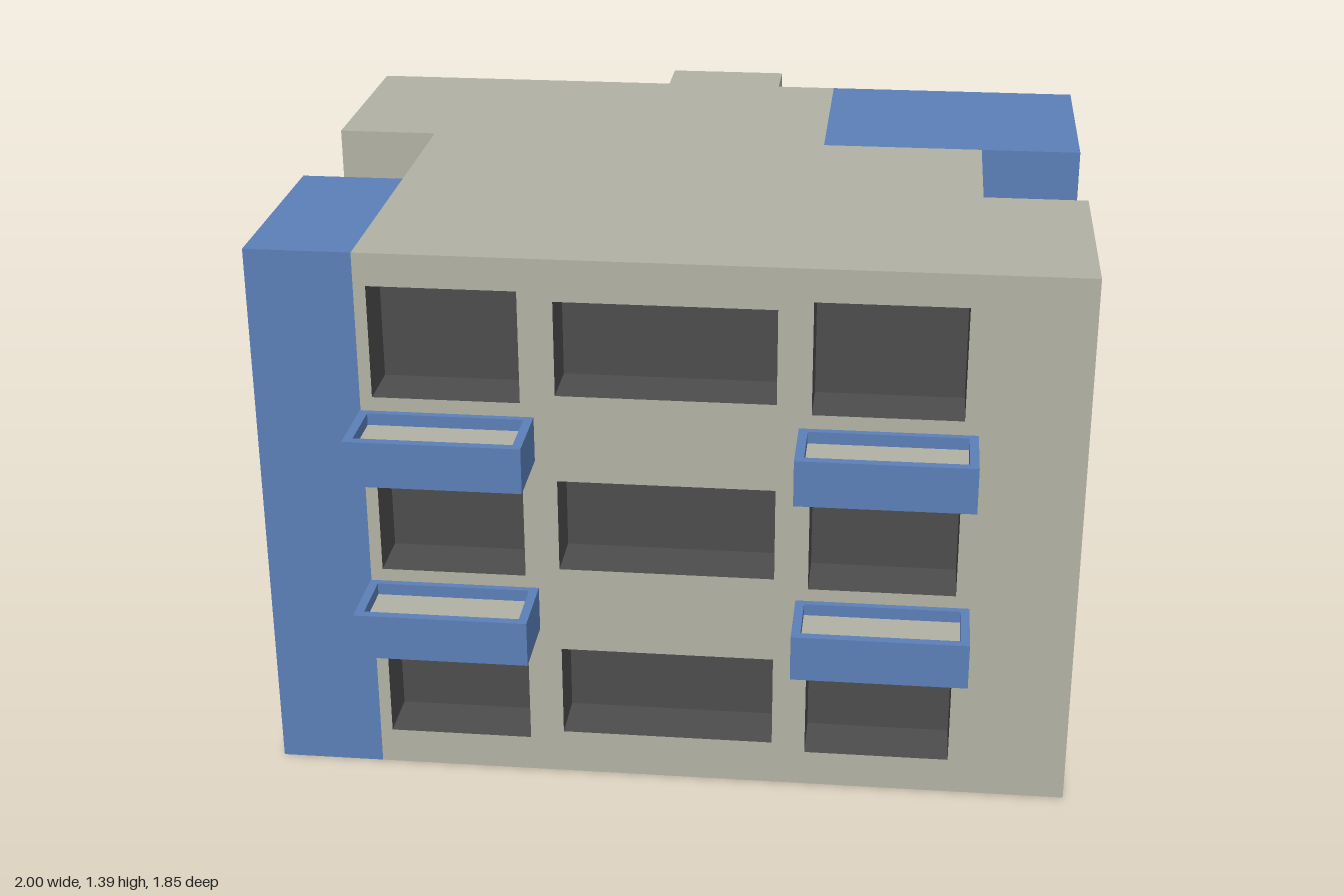
import * as THREE from 'three';

const H = 1.39;                       // building height
const ROWS = [0.235, 0.7, 1.165];     // window centre height on each floor
const RECESS = 0.14;

const flat = (name, color) => new THREE.MeshStandardMaterial({ name, color, side: THREE.DoubleSide });

function rectPath(PathType, x0, y0, x1, y1) {
  return new PathType([[x0, y0], [x1, y0], [x1, y1], [x0, y1]].map(([x, y]) => new THREE.Vector2(x, y)));
}

// open-fronted box lining one window opening
function recessGeometry(w, h) {
  const geo = new THREE.BoxGeometry(w, h, RECESS);
  const index = Array.from(geo.index.array).filter((_, i) => i < 24 || i >= 30);
  geo.setIndex(index);
  geo.clearGroups();
  return geo.translate(0, 0, -RECESS / 2);
}

export function createModel() {
  const model = new THREE.Group();
  model.name = 'apartmentBlock';
  const beige = flat('beige plaster', 0xb2b2a5);
  const blue = flat('blue plaster', 0x5b80b9);
  const dark = flat('dark window', 0x4d4d4d);

  const add = (parent, name, geo, mat) => {
    const mesh = new THREE.Mesh(geo, mat);
    mesh.name = name;
    parent.add(mesh);
    return mesh;
  };

  // wall from a to b in plan; windows are columns [offset, width, height]
  function wall(name, [x0, z0], [x1, z1], mat, columns = []) {
    const g = new THREE.Group();
    g.name = name;
    const shape = rectPath(THREE.Shape, 0, 0, Math.hypot(x1 - x0, z1 - z0), H);
    for (const [u, w, h] of columns) {
      for (const y of ROWS) {
        shape.holes.push(rectPath(THREE.Path, u - w / 2, y - h / 2, u + w / 2, y + h / 2));
        add(g, 'windowRecess', recessGeometry(w, h), dark).position.set(u, y, 0);
      }
    }
    add(g, 'wallFace', new THREE.ShapeGeometry(shape), mat);
    g.position.set(x0, 0, z0);
    g.rotation.y = Math.atan2(z0 - z1, x1 - x0);
    model.add(g);
  }

  // outer walls, anticlockwise seen from above
  const side = [[0.28, 0.2, 0.26]];
  const walls = [
    ['frontWall', [-0.74, 0.74], beige, [[0.21, 0.36, 0.285], [0.74, 0.53, 0.24], [1.268, 0.36, 0.285]]],
    ['leftFrontWall', [1, 0.74], beige, side],
    ['leftNotchFront', [1, 0.18], beige],
    ['leftNotchWall', [0.74, 0.18], beige],
    ['leftNotchBack', [0.74, -0.22], blue],
    ['leftBackWall', [1, -0.22], blue, side],
    ['backBlueWall', [1, -0.78], blue, [[0.472, 0.36, 0.285]]],
    ['backStrip', [0.32, -0.78], beige],
    ['shaftLeft', [0.16, -0.78], beige],
    ['shaftBack', [0.16, -0.925], beige],
    ['shaftRight', [-0.16, -0.925], beige],
    ['backWall', [-0.16, -0.78], beige, [[0.368, 0.36, 0.285]]],
    ['rightBackWall', [-1, -0.78], beige, side],
    ['rightNotchBack', [-1, -0.22], beige],
    ['rightNotchWall', [-0.74, -0.22], beige],
    ['rightNotchFront', [-0.74, 0.18], blue],
    ['rightFrontWall', [-1, 0.18], blue, side],
    ['frontBlueWall', [-1, 0.74], blue],
  ];
  walls.forEach(([name, start, mat, columns], i) =>
    wall(name, start, walls[(i + 1) % walls.length][1], mat, columns));

  // flat roof: beige field and two blue corners
  const roof = (name, points, mat) => {
    const shape = new THREE.Shape(points.map(([x, z]) => new THREE.Vector2(x, -z)));
    add(model, name, new THREE.ShapeGeometry(shape).rotateX(-Math.PI / 2), mat).position.y = H;
  };
  roof('mainRoof', [
    [-0.74, 0.74], [1, 0.74], [1, 0.18], [0.74, 0.18], [0.74, -0.22], [0.32, -0.22], [0.32, -0.78],
    [0.16, -0.78], [0.16, -0.925], [-0.16, -0.925], [-0.16, -0.78], [-1, -0.78], [-1, -0.22], [-0.74, -0.22],
  ], beige);
  roof('backBlueRoof', [[0.32, -0.22], [1, -0.22], [1, -0.78], [0.32, -0.78]], blue);
  roof('frontBlueRoof', [[-1, 0.74], [-0.74, 0.74], [-0.74, 0.18], [-1, 0.18]], blue);

  // balconies: blue parapet around a beige floor
  const rim = rectPath(THREE.Shape, -0.212, -0.0925, 0.212, 0.0925);
  rim.holes.push(rectPath(THREE.Path, -0.19, -0.07, 0.19, 0.075));
  const parapet = new THREE.ExtrudeGeometry(rim, { depth: 0.115, bevelEnabled: false }).rotateX(-Math.PI / 2);
  for (const x of [-0.53, 0.53]) {
    for (const y of [0.41, 0.872]) {
      const balcony = new THREE.Group();
      balcony.name = 'balcony';
      add(balcony, 'parapet', parapet, blue);
      add(balcony, 'balconyFloor', new THREE.BoxGeometry(0.38, 0.01, 0.145), beige).position.set(0, 0.08, -0.0025);
      add(balcony, 'balconyUnderside', new THREE.BoxGeometry(0.38, 0.01, 0.145), blue).position.set(0, 0.005, -0.0025);
      balcony.position.set(x, y, 0.8325);
      model.add(balcony);
    }
  }
  return model;
}
